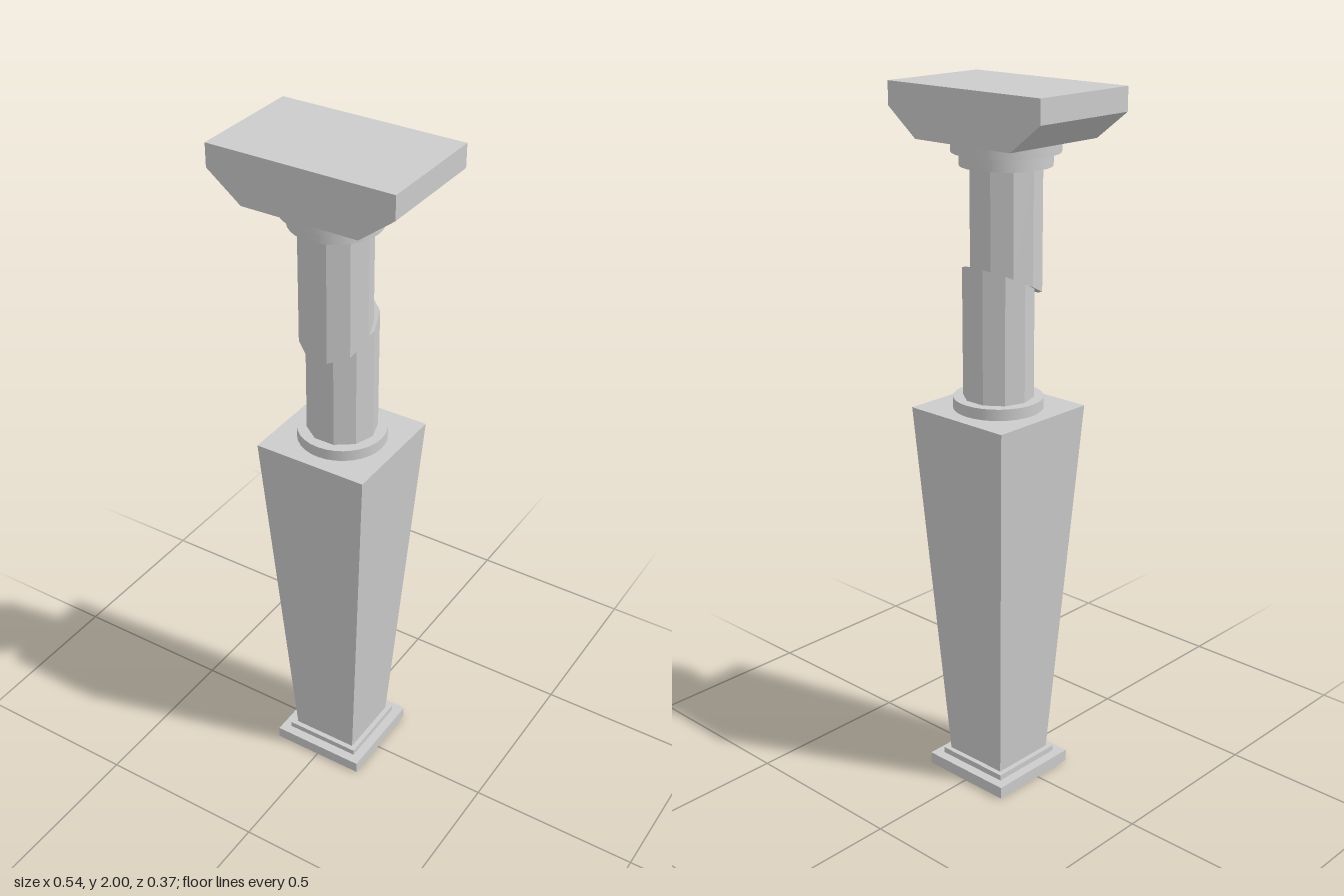
import * as THREE from 'three';

const flat = new THREE.MeshStandardMaterial({ color: 0xcccccc, flatShading: true, side: THREE.DoubleSide });
const smooth = new THREE.MeshStandardMaterial({ color: 0xcccccc });

const SHIFT = 0.016; // upper half has slipped forward, lower half sits back
const cutHeight = (z) => 1.483 - 0.465 * z; // slanted break plane

function add(parent, name, geometry, material) {
  const mesh = new THREE.Mesh(geometry, material);
  mesh.name = name;
  parent.add(mesh);
  return mesh;
}

// Round collar between two heights
function ring(parent, name, radius, y0, y1) {
  const mesh = add(parent, name, new THREE.CylinderGeometry(radius, radius, y1 - y0, 32), smooth);
  mesh.position.y = (y0 + y1) / 2;
}

// Ten-sided shaft whose top or bottom end is sheared along the break plane
function shaft(parent, name, fixedY, cutIsTop) {
  const g = new THREE.CylinderGeometry(0.098, 0.098, 1, 10, 1, false, Math.PI / 10);
  const p = g.attributes.position;
  for (let i = 0; i < p.count; i++) {
    const isCut = (p.getY(i) > 0) === cutIsTop;
    p.setY(i, isCut ? cutHeight(p.getZ(i) + parent.position.z) : fixedY);
  }
  g.computeVertexNormals();
  add(parent, name, g, flat);
}

export function createModel() {
  const model = new THREE.Group();
  model.name = 'brokenColumn';

  const lower = new THREE.Group();
  lower.name = 'lowerHalf';
  lower.position.z = -SHIFT;
  const upper = new THREE.Group();
  upper.name = 'upperHalf';
  upper.position.z = SHIFT - 0.001;
  model.add(lower, upper);

  // Square stepped base and flared pedestal, a shell open underneath
  const profile = [
    [0.143, 0], [0.143, 0.035], [0.115, 0.035], [0.115, 0.052],
    [0.1, 0.052], [0.168, 1.128], [0, 1.128],
  ].map(([half, y]) => new THREE.Vector2(half * Math.SQRT2, y));
  const pedestal = new THREE.LatheGeometry(profile, 4, Math.PI / 4).toNonIndexed();
  pedestal.computeVertexNormals();
  add(lower, 'pedestal', pedestal, flat);

  // Lower shaft
  ring(lower, 'lowerCollar', 0.125, 1.128, 1.16);
  shaft(lower, 'lowerShaft', 1.16, true);

  // Upper shaft and stepped neck
  shaft(upper, 'upperShaft', 1.79, false);
  ring(upper, 'neckRing', 0.125, 1.79, 1.826);
  ring(upper, 'neckCollar', 0.147, 1.826, 1.858);

  // Capital with sloping ends
  const outline = new THREE.Shape([
    [-0.168, 1.858], [0.168, 1.858], [0.268, 1.935],
    [0.268, 2], [-0.268, 2], [-0.268, 1.935],
  ].map(([x, y]) => new THREE.Vector2(x, y)));
  const depth = 0.336;
  const capital = new THREE.ExtrudeGeometry(outline, { depth, bevelEnabled: false });
  capital.translate(0, 0, -depth / 2);
  add(upper, 'capital', capital, flat);

  return model;
}
